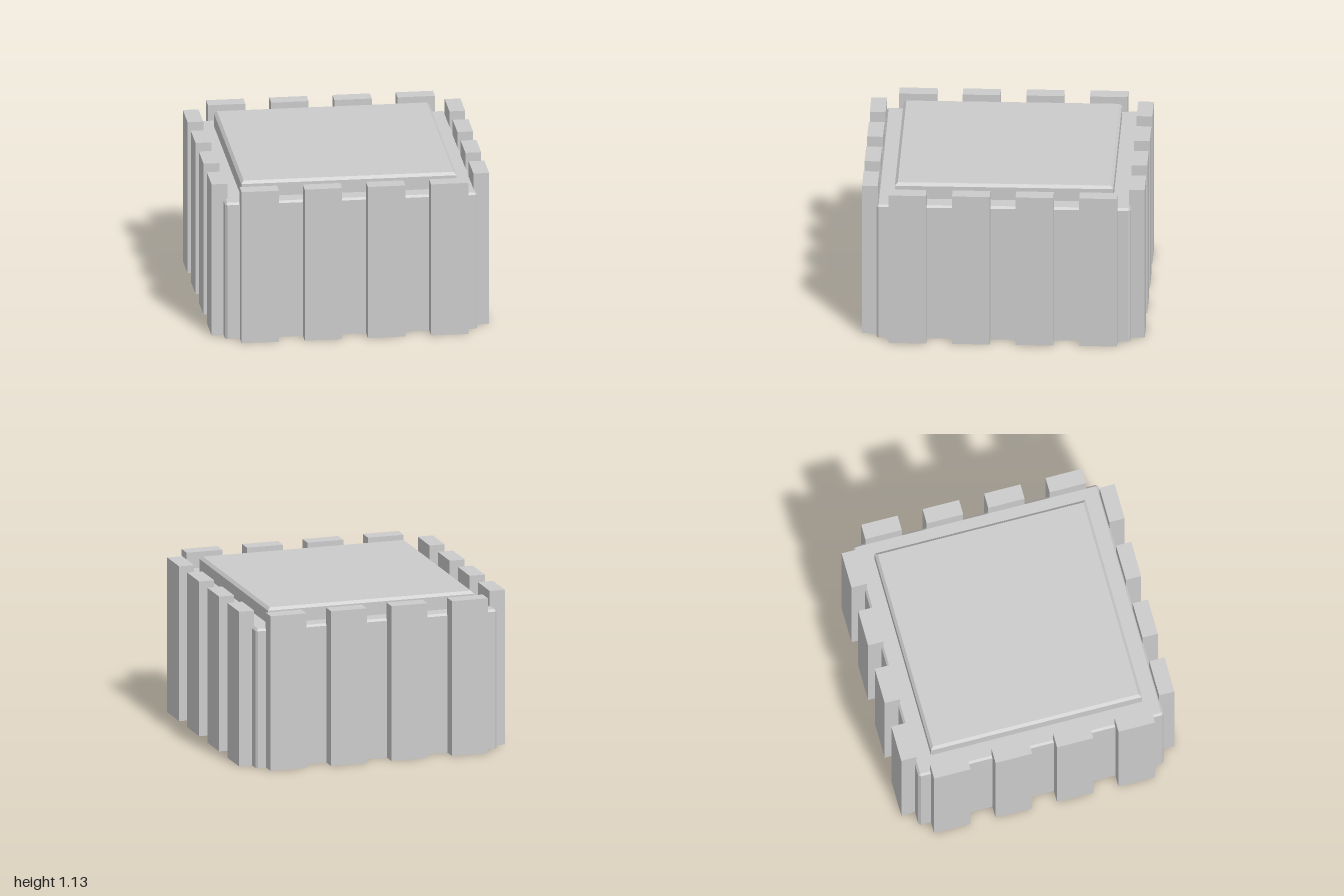
import * as THREE from 'three';

const material = new THREE.MeshStandardMaterial({ color: 0xcccccc, flatShading: true });

// Block with a bevelled top rim; "corner" also chamfers the upright edges.
function bevelledBlock(name, [x0, x1], [y0, y1], [z0, z1], bevel, corner) {
  const ring = (y, inset, c) => {
    const a = x0 + inset, b = x1 - inset, d = z0 + inset, e = z1 - inset;
    return [[a, e - c], [a + c, e], [b - c, e], [b, e - c], [b, d + c], [b - c, d], [a + c, d], [a, d + c]]
      .map(([x, z]) => [x, y, z]);
  };
  const rings = [ring(y0, 0, corner), ring(y1 - bevel, 0, corner), ring(y1, bevel, 0)];
  const points = [];
  for (let r = 0; r < 2; r++) {
    for (let i = 0; i < 8; i++) {
      const j = (i + 1) % 8, lo = rings[r], hi = rings[r + 1];
      points.push(lo[i], lo[j], hi[j], lo[i], hi[j], hi[i]);
    }
  }
  // bottom and top caps
  for (let i = 1; i < 7; i++) {
    points.push(rings[0][0], rings[0][i + 1], rings[0][i]);
    points.push(rings[2][0], rings[2][i], rings[2][i + 1]);
  }
  const geometry = new THREE.BufferGeometry();
  geometry.setAttribute('position', new THREE.Float32BufferAttribute(points.flat(), 3));
  geometry.computeVertexNormals();
  const mesh = new THREE.Mesh(geometry, material);
  mesh.name = name;
  return mesh;
}

function slat(name, width, height, depth, x, z) {
  const mesh = new THREE.Mesh(new THREE.BoxGeometry(width, height, depth), material);
  mesh.name = name;
  mesh.position.set(x, height / 2, z);
  return mesh;
}

export function createModel() {
  const model = new THREE.Group();
  model.name = 'slattedCrate';

  // main body and raised lid panel
  model.add(bevelledBlock('body', [-0.905, 0.89], [0, 1.015], [-0.9, 0.895], 0.015, 0.015));
  model.add(bevelledBlock('lidPanel', [-0.775, 0.76], [1, 1.13], [-0.775, 0.77], 0.02, 0));

  // four upright slats on every side
  const height = 1.13, width = 0.267, thickness = 0.112, pitch = 0.45;
  for (let i = 0; i < 4; i++) {
    const offset = (i - 1.5) * pitch;
    for (const side of [1, -1]) {
      model.add(slat(side > 0 ? 'frontSlat' : 'backSlat', width, height, thickness, offset + 0.007, side * 0.944));
      model.add(slat(side > 0 ? 'leftSlat' : 'rightSlat', thickness, height, width, side * 0.933 - 0.002, offset - 0.002));
    }
  }
  return model;
}
